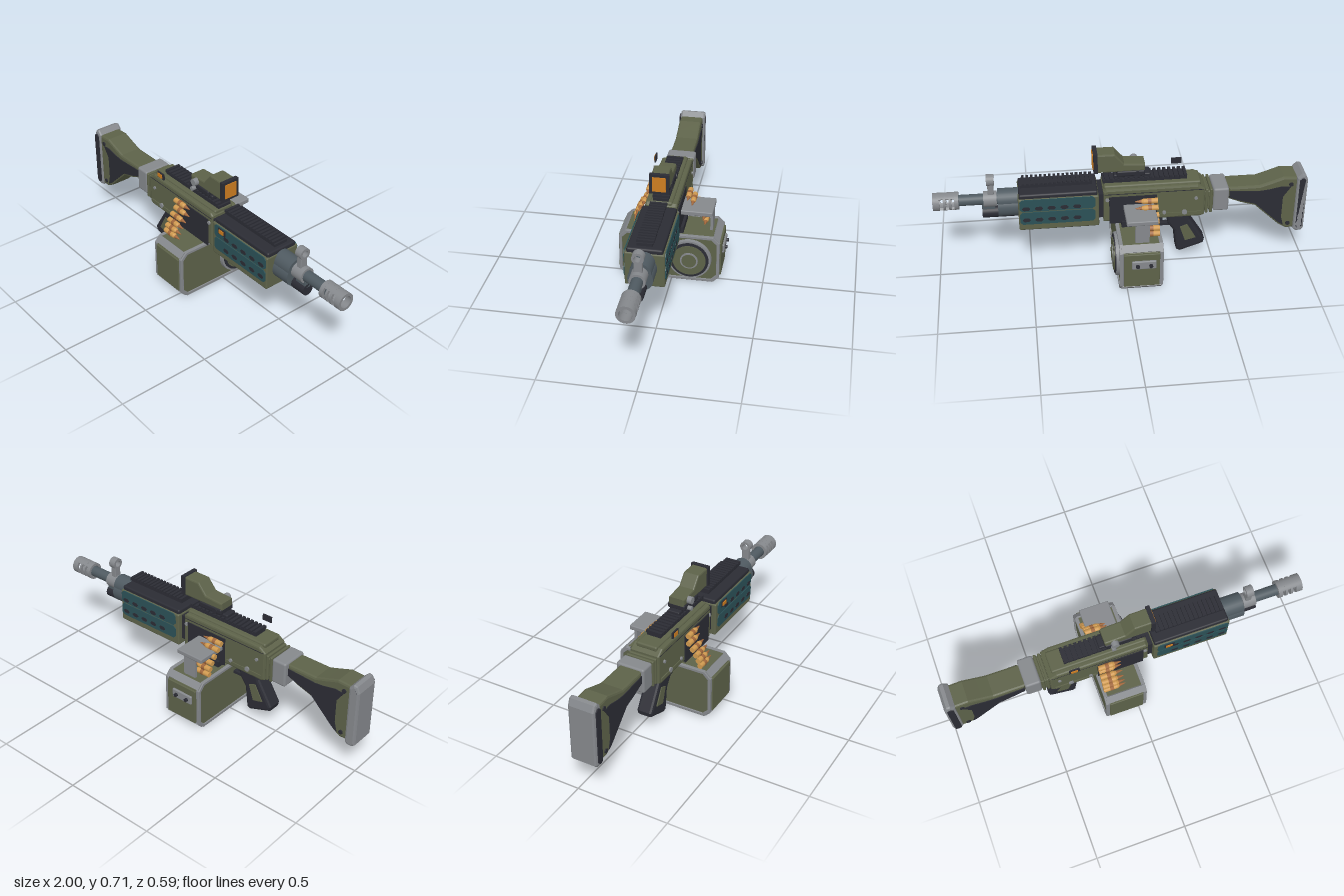
import * as THREE from 'three';
import { RoundedBoxGeometry } from 'three/addons/geometries/RoundedBoxGeometry.js';

const M = {};
for (const [name, color] of Object.entries({
  olive: 0x5d6249, dark: 0x2b2c34, grey: 0x85888c, slate: 0x4f5a61, teal: 0x2b5157,
  orange: 0xcd7d20, brass: 0xd09a50, copper: 0xa2683c,
})) {
  M[name] = new THREE.MeshStandardMaterial({ color });
  M[name].name = name;
}
const AXIS = 0.045; // z of the barrel line

export function createModel() {
  const root = new THREE.Group();
  const add = (name, mat, geo) => {
    const m = new THREE.Mesh(geo, M[mat]);
    m.name = name;
    root.add(m);
    return m;
  };
  // Box given by its limits, optionally with rounded edges
  const box = (name, mat, x0, x1, y0, y1, z0, z1, r = 0) => {
    const s = [x1 - x0, y1 - y0, z1 - z0];
    const g = r ? new RoundedBoxGeometry(...s, 2, r) : new THREE.BoxGeometry(...s);
    return add(name, mat, g.translate((x0 + x1) / 2, (y0 + y1) / 2, (z0 + z1) / 2));
  };
  const cylX = (name, mat, x0, x1, y, z, r, r2 = r, n = 28) =>
    add(name, mat, new THREE.CylinderGeometry(r2, r, x1 - x0, n).rotateZ(-Math.PI / 2).translate((x0 + x1) / 2, y, z));
  const cylZ = (name, mat, x, y, z0, z1, r, n = 18) =>
    add(name, mat, new THREE.CylinderGeometry(r, r, z1 - z0, n).rotateX(Math.PI / 2).translate(x, y, (z0 + z1) / 2));
  const shapeOf = pts => new THREE.Shape(pts.map(p => new THREE.Vector2(...p)));
  const extrude = (shape, depth, b) => new THREE.ExtrudeGeometry(shape, {
    depth: depth - 2 * b, bevelEnabled: b > 0, bevelSize: b, bevelThickness: b, bevelOffset: -b, bevelSegments: 2, curveSegments: 24,
  }).translate(0, 0, b);
  // Side profile (x, y) extruded over z
  const side = (name, mat, pts, z0, z1, b = 0) => add(name, mat, extrude(shapeOf(pts), z1 - z0, b).translate(0, 0, z0));
  // End profile (-z, y) extruded over x
  const along = (name, mat, shape, x0, x1, b = 0) =>
    add(name, mat, extrude(shape, x1 - x0, b).rotateY(Math.PI / 2).translate(x0, 0, 0));
  const ring = (name, mat, x0, x1, y, z, r, ri) => {
    const s = new THREE.Shape().absarc(-z, y, r, 0, Math.PI * 2);
    s.holes.push(new THREE.Path().absarc(-z, y, ri, 0, Math.PI * 2, true));
    return along(name, mat, s, x0, x1);
  };
  // The same thin plate on both sides of the barrel line
  const platePair = (name, mat, pts, half, t = 0.006) => {
    side(name, mat, pts, AXIS + half, AXIS + half + t);
    side(name, mat, pts, AXIS - half - t, AXIS - half);
  };
  const rect = (x0, x1, y0, y1, c = 0) => c
    ? [[x0 + c, y0], [x1 - c, y0], [x1, y0 + c], [x1, y1 - c], [x1 - c, y1], [x0 + c, y1], [x0, y1 - c], [x0, y0 + c]]
    : [[x0, y0], [x1, y0], [x1, y1], [x0, y1]];

  // Stock and butt pad
  side('stock', 'olive', [[-0.95, 0.18], [-0.9, 0.18], [-0.86, 0.205], [-0.72, 0.34], [-0.64, 0.365], [-0.57, 0.395],
    [-0.57, 0.465], [-0.74, 0.465], [-0.8, 0.485], [-0.87, 0.51], [-0.95, 0.505]], -0.02, 0.11, 0.012);
  platePair('stockInset', 'dark', [[-0.885, 0.205], [-0.855, 0.225], [-0.72, 0.355], [-0.64, 0.38], [-0.575, 0.405], [-0.575, 0.445],
    [-0.74, 0.435], [-0.79, 0.44], [-0.86, 0.455], [-0.91, 0.45], [-0.87, 0.39], [-0.87, 0.26]], 0.063);
  for (const y of [0.215, 0.465]) cylZ('stockPin', 'dark', -0.91, y, -0.026, 0.116, 0.012);
  side('buttPad', 'grey', [[-0.985, 0.165], [-0.955, 0.165], [-0.94, 0.18], [-0.94, 0.505], [-0.965, 0.53], [-0.985, 0.525],
    [-1, 0.49], [-1, 0.18]], -0.033, 0.115, 0.012);
  platePair('buttPadInset', 'dark', rect(-0.988, -0.953, 0.185, 0.505, 0.012), 0.072);
  box('stockCollar', 'grey', -0.57, -0.485, 0.335, 0.475, -0.04, 0.12, 0.012);
  box('collarNeck', 'olive', -0.49, -0.43, 0.345, 0.46, -0.03, 0.115, 0.008);
  for (const x of [-0.482, -0.458]) box('collarRib', 'olive', x, x + 0.016, 0.325, 0.475, -0.036, 0.122, 0.006);

  // Receiver
  side('receiver', 'olive', [[-0.44, 0.32], [-0.42, 0.31], [0.105, 0.31], [0.105, 0.495], [0.09, 0.508], [-0.4, 0.508], [-0.44, 0.48]],
    -0.04, 0.13, 0.01);
  box('topCover', 'olive', -0.42, 0.1, 0.49, 0.518, -0.015, 0.105, 0.01);
  platePair('receiverLedge', 'olive', rect(-0.42, -0.19, 0.325, 0.345), 0.084);
  platePair('coverSeam', 'dark', rect(-0.43, 0.1, 0.478, 0.482), 0.0835, 0.002);
  platePair('feedPort', 'dark', rect(-0.18, 0.075, 0.3, 0.465), 0.084);
  for (const [x, y, r] of [[-0.33, 0.345, 0.014], [-0.39, 0.43, 0.009], [-0.22, 0.35, 0.01], [0.085, 0.45, 0.01]])
    cylZ('receiverPin', 'grey', x, y, -0.048, 0.138, r);
  box('magazineMount', 'dark', -0.15, 0.01, 0.275, 0.315, -0.06, 0.11);
  box('handguardGap', 'dark', 0.1, 0.135, 0.335, 0.48, -0.03, 0.12);

  // Grip and trigger
  side('grip', 'dark', [[-0.45, 0.1], [-0.32, 0.055], [-0.3, 0.065], [-0.285, 0.19], [-0.25, 0.24], [-0.235, 0.31], [-0.36, 0.31],
    [-0.37, 0.265], [-0.455, 0.125]], 0, 0.09, 0.014);
  platePair('gripPanel', 'olive', [[-0.405, 0.145], [-0.345, 0.13], [-0.315, 0.22], [-0.355, 0.235]], 0.044);
  box('triggerGuard', 'dark', -0.28, -0.17, 0.215, 0.23, 0.03, 0.06);
  box('trigger', 'dark', -0.225, -0.208, 0.24, 0.32, 0.035, 0.055);

  // Handguard with side panels and slots
  box('handguard', 'olive', 0.13, 0.555, 0.3, 0.49, -0.057, 0.147, 0.008);
  box('handguardTop', 'dark', 0.135, 0.55, 0.48, 0.513, -0.047, 0.137, 0.01);
  box('handguardBottom', 'dark', 0.15, 0.54, 0.295, 0.302, -0.045, 0.135);
  platePair('upperPanel', 'teal', rect(0.15, 0.548, 0.418, 0.49, 0.014), 0.101, 0.005);
  platePair('lowerPanel', 'teal', rect(0.15, 0.548, 0.338, 0.412, 0.014), 0.101, 0.005);
  for (let i = 0; i < 5; i++) {
    const x = 0.225 + i * 0.067;
    for (const y of [0.366, 0.436]) platePair('ventSlot', 'dark', rect(x, x + 0.042, y - 0.011, y + 0.011, 0.009), 0.1045, 0.003);
  }
  // Orange indicators, one on the handguard and one beside the rail
  for (const [x, y, z] of [[0.213, 0.467, 0.147], [-0.308, 0.555, 0.143]]) {
    box('indicatorFrame', 'dark', x - 0.028, x + 0.028, y - 0.017, y + 0.017, z, z + 0.008);
    box('indicator', 'orange', x - 0.02, x + 0.016, y - 0.011, y + 0.011, z + 0.007, z + 0.012);
  }

  // Toothed top rails
  for (const [x0, x1, n] of [[-0.345, 0.105, 17], [0.16, 0.54, 16]]) {
    box('railBase', 'dark', x0, x1, 0.526, 0.541, 0.005, 0.085);
    const step = (x1 - x0) / n;
    for (let i = 0; i < n; i++) box('railTooth', 'dark', x0 + i * step, x0 + (i + 0.6) * step, 0.538, 0.553, 0, 0.09);
  }
  box('railFoot', 'dark', -0.32, 0.09, 0.51, 0.53, 0.02, 0.07);

  // Optic
  box('opticClamp', 'dark', -0.15, 0.045, 0.545, 0.57, 0.01, 0.08, 0.006);
  box('opticMount', 'dark', -0.12, 0.03, 0.565, 0.597, -0.005, 0.095, 0.008);
  side('opticBody', 'olive', [[-0.12, 0.592], [0.135, 0.592], [0.135, 0.7], [0.04, 0.7], [-0.01, 0.64], [-0.12, 0.632]], 0, 0.09, 0.008);
  box('lensFrame', 'dark', 0.13, 0.152, 0.595, 0.706, -0.007, 0.097);
  box('lens', 'orange', 0.15, 0.156, 0.61, 0.692, 0.009, 0.081);
  cylZ('opticKnob', 'grey', -0.07, 0.613, 0.085, 0.115, 0.02);
  cylZ('clampScrewHead', 'grey', -0.08, 0.572, 0.08, 0.118, 0.012);
  cylZ('clampScrewTail', 'dark', -0.08, 0.58, -0.011, 0.02, 0.015);

  // Gas block, barrel and front sight
  cylX('gasBlock', 'slate', 0.55, 0.66, 0.445, AXIS, 0.055);
  cylX('lowerBlock', 'slate', 0.55, 0.66, 0.41, AXIS, 0.064);
  cylX('gasTube', 'dark', 0.55, 0.745, 0.368, AXIS, 0.033);
  cylX('barrel', 'slate', 0.65, 0.875, 0.447, AXIS, 0.03);
  cylX('sightBand', 'grey', 0.665, 0.735, 0.447, AXIS, 0.042);
  box('sightBlock', 'slate', 0.675, 0.745, 0.375, 0.43, 0.025, 0.065, 0.006);
  box('sightPost', 'grey', 0.678, 0.71, 0.47, 0.545, 0.024, 0.066, 0.005);
  ring('sightRing', 'grey', 0.674, 0.714, 0.564, AXIS, 0.031, 0.018);

  // Muzzle brake: rings joined by curved bars, open at the sides
  for (const [x0, x1] of [[0.865, 0.887], [0.903, 0.915], [0.933, 0.945], [0.965, 1]])
    ring('brakeRing', 'grey', x0, x1, 0.447, AXIS, 0.048, 0.033);
  for (const a of [Math.PI / 4, Math.PI * 5 / 4]) {
    const s = new THREE.Shape().absarc(-AXIS, 0.447, 0.0475, a, a + Math.PI / 2)
      .absarc(-AXIS, 0.447, 0.034, a + Math.PI / 2, a, true);
    along('brakeBar', 'grey', s, 0.87, 0.99);
  }

  // Ammunition box
  const oct = d => rect(-0.289 + d, 0.262 - d, 0.002 + d, 0.285 - d, 0.036 - d * 0.4).map(p => new THREE.Vector2(...p));
  along('ammoBox', 'olive', new THREE.Shape(oct(0.004)), -0.183, 0.035);
  for (const x of [-0.19, 0.022]) {
    const s = new THREE.Shape(oct(0));
    s.holes.push(new THREE.Path(oct(0.016).reverse()));
    along('ammoBoxRim', 'grey', s, x, x + 0.02, 0.002);
  }
  for (const [z, dir] of [[0.289, 1], [-0.262, -1]]) {
    for (const y of [0.02, 0.267]) {
      const bar = add('ammoBoxEdge', 'grey', new THREE.BoxGeometry(0.215, 0.042, 0.012));
      bar.position.set(-0.074, y, z - dir * 0.02);
      bar.rotation.x = (y < 0.1 ? 1 : -1) * dir * Math.PI / 4;
    }
    box('ammoBoxEndPanel', 'olive', -0.17, 0.022, 0.04, 0.245, z - 0.008, z + 0.006, 0.004);
  }
  // Round window on the box
  cylX('windowRim', 'grey', 0.03, 0.055, 0.143, -0.1, 0.12, 0.117, 40);
  cylX('windowGroove', 'dark', 0.05, 0.06, 0.143, -0.1, 0.106, 0.106, 40);
  cylX('windowFace', 'olive', 0.05, 0.064, 0.143, -0.1, 0.091, 0.091, 40);
  cylX('windowHub', 'grey', 0.06, 0.068, 0.143, -0.1, 0.049, 0.049, 32);
  cylX('windowHubFace', 'olive', 0.06, 0.071, 0.143, -0.1, 0.04, 0.04, 32);
  // Latch on the rear end
  box('latchPlate', 'grey', -0.15, -0.02, 0.157, 0.207, -0.281, -0.262, 0.006);
  for (const x of [-0.12, -0.05]) cylZ('latchKnob', 'dark', x, 0.181, -0.293, -0.278, 0.01);

  // Feed tray on the rear side
  box('feedTray', 'grey', -0.165, 0, 0.388, 0.415, -0.215, -0.035, 0.006);
  box('trayLeg', 'grey', -0.12, -0.045, 0.275, 0.395, -0.212, -0.198);

  // Cartridge belt over both sides
  const belt = [[0.15, 0.465], [0.152, 0.42], [0.175, 0.39], [0.195, 0.361], [0.21, 0.332], [0.22, 0.304],
    [-0.07, 0.447], [-0.095, 0.42], [-0.12, 0.39], [-0.14, 0.361], [-0.156, 0.332], [-0.166, 0.304]];
  for (const [z, y] of belt) {
    cylX('cartridgeCase', 'brass', -0.18, -0.105, y, z, 0.015, 0.015, 12);
    cylX('cartridgeNeck', 'brass', -0.105, -0.093, y, z, 0.015, 0.01, 12);
    cylX('bulletTip', 'copper', -0.093, -0.058, y, z, 0.01, 0.002, 12);
    cylX('beltLink', 'copper', -0.145, -0.125, y, z, 0.0165, 0.0165, 8);
  }
  return root;
}
